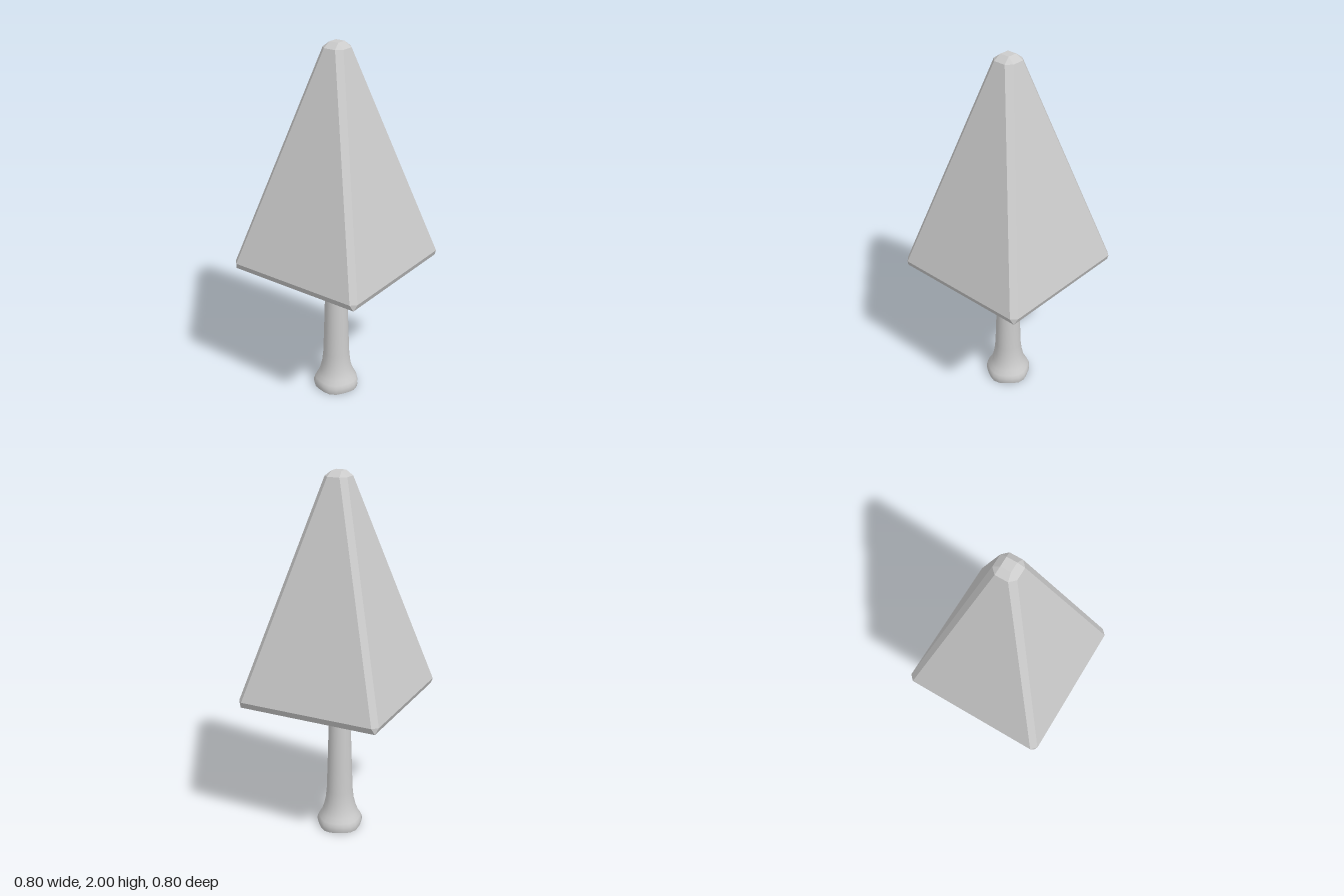
import * as THREE from 'three';
import { ConvexGeometry } from 'three/addons/geometries/ConvexGeometry.js';

// Points of a square ring with half-width r and corners cut back to c
function squareRing(y, r, c) {
  const points = [];
  for (const sx of [-1, 1]) {
    for (const sz of [-1, 1]) {
      points.push(new THREE.Vector3(sx * r, y, sz * c));
      if (c !== r) points.push(new THREE.Vector3(sx * c, y, sz * r));
    }
  }
  return points;
}

export function createModel() {
  const group = new THREE.Group();
  group.name = 'tree';

  // Canopy: pyramid with chamfered edges and a blunt tip
  const canopy = new THREE.Mesh(
    new ConvexGeometry([
      ...squareRing(0.793, 0.385, 0.385),
      ...squareRing(0.828, 0.4, 0.372),
      ...squareRing(1.972, 0.063, 0.034),
      ...squareRing(2.0, 0.027, 0.027),
    ]),
    new THREE.MeshStandardMaterial({ color: 0xcccccc, flatShading: true })
  );
  canopy.name = 'canopy';
  group.add(canopy);

  // Trunk: slim taper that flares into a rounded foot
  const profile = [
    [0.121, 0], [0.125, 0.015], [0.125, 0.035], [0.118, 0.055], [0.103, 0.08], [0.09, 0.115],
    [0.08, 0.16], [0.074, 0.22], [0.069, 0.36], [0.063, 0.56], [0.057, 0.72], [0.055, 0.8],
  ].map(([r, y]) => new THREE.Vector2(r, y));
  const trunkGeometry = new THREE.LatheGeometry(profile, 20);

  // Soft root lobes that fade out up the trunk
  const pos = trunkGeometry.attributes.position;
  for (let i = 0; i < pos.count; i++) {
    const x = pos.getX(i), y = pos.getY(i), z = pos.getZ(i);
    const fade = Math.max(0, 1 - y / 0.2);
    const s = 1 + 0.04 * fade * Math.cos(5 * Math.atan2(z, x) + 0.6);
    pos.setXYZ(i, x * s - 0.003, y, z * s + 0.004);
  }
  const material = new THREE.MeshStandardMaterial({ color: 0xcccccc });
  const trunk = new THREE.Mesh(trunkGeometry, material);
  trunk.name = 'trunk';
  group.add(trunk);

  // Underside of the foot
  const base = new THREE.Mesh(new THREE.CircleGeometry(0.121, 20), material);
  base.name = 'trunkBase';
  base.rotation.x = Math.PI / 2;
  base.position.set(-0.003, 0.001, 0.004);
  group.add(base);

  return group;
}
